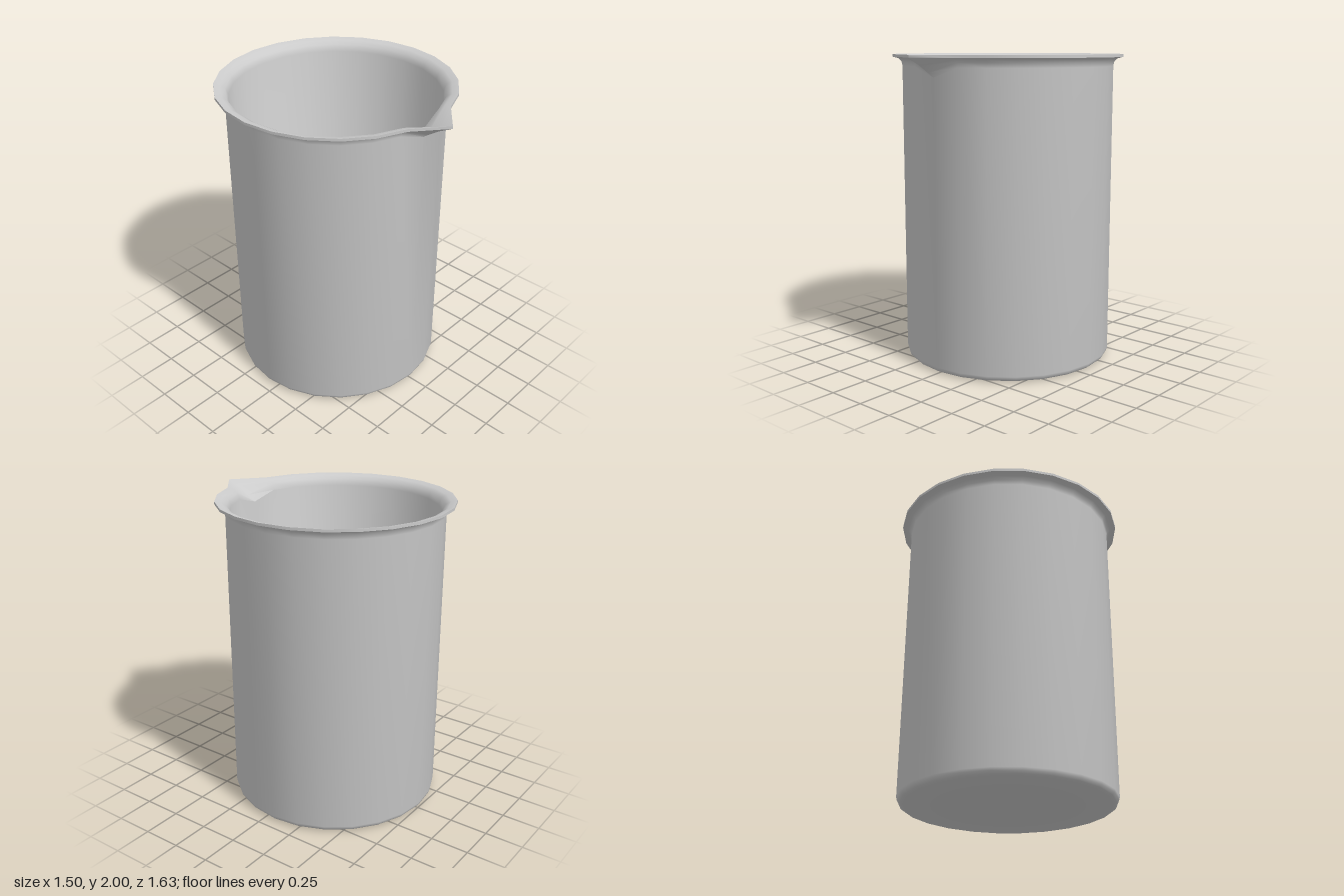
import * as THREE from 'three';
import { mergeVertices, toCreasedNormals } from 'three/addons/utils/BufferGeometryUtils.js';

const SIDES = 24;
const CENTRE_Z = -0.07;

// Wall section [radius, height], from the underside, over the lip, to the inner floor.
// Lip rows add [radius, height] of the pulled-out spout column.
const SECTION = [
  [0, 0], [0.64, 0], [0.668, 0.008], [0.682, 0.022], [0.687, 0.04],
  [0.687, 1.925, 0.687, 1.865],
  [0.693, 1.955, 0.725, 1.892],
  [0.712, 1.973, 0.79, 1.935],
  [0.75, 1.983, 0.885, 1.984],
  [0.75, 2.0, 0.885, 2.0],
  [0.71, 1.991, 0.805, 1.965],
  [0.678, 1.972, 0.725, 1.915],
  [0.662, 1.93, 0.662, 1.88],
  [0.662, 0.05], [0.655, 0.035], [0.635, 0.027], [0, 0.027],
];

function createBeaker() {
  const points = SECTION.map(([r, y]) => new THREE.Vector2(r, y));
  let geometry = new THREE.LatheGeometry(points, SIDES);

  // Pull the front column (first and last of the lathe) into the spout
  const pos = geometry.attributes.position;
  for (const column of [0, SIDES]) {
    SECTION.forEach(([r, y, spoutR = r, spoutY = y], row) => {
      pos.setXYZ(column * SECTION.length + row, 0, spoutY, spoutR);
    });
  }

  // Weld the seam, then smooth all but the sharp edges
  geometry.deleteAttribute('uv');
  geometry.deleteAttribute('normal');
  geometry = toCreasedNormals(mergeVertices(geometry), THREE.MathUtils.degToRad(55));

  const material = new THREE.MeshStandardMaterial({ color: 0xcccccc, side: THREE.DoubleSide });
  const mesh = new THREE.Mesh(geometry, material);
  mesh.name = 'beakerWithSpout';
  mesh.position.z = CENTRE_Z;
  return mesh;
}

export function createModel() {
  const group = new THREE.Group();
  group.name = 'beaker';
  group.add(createBeaker());
  return group;
}
